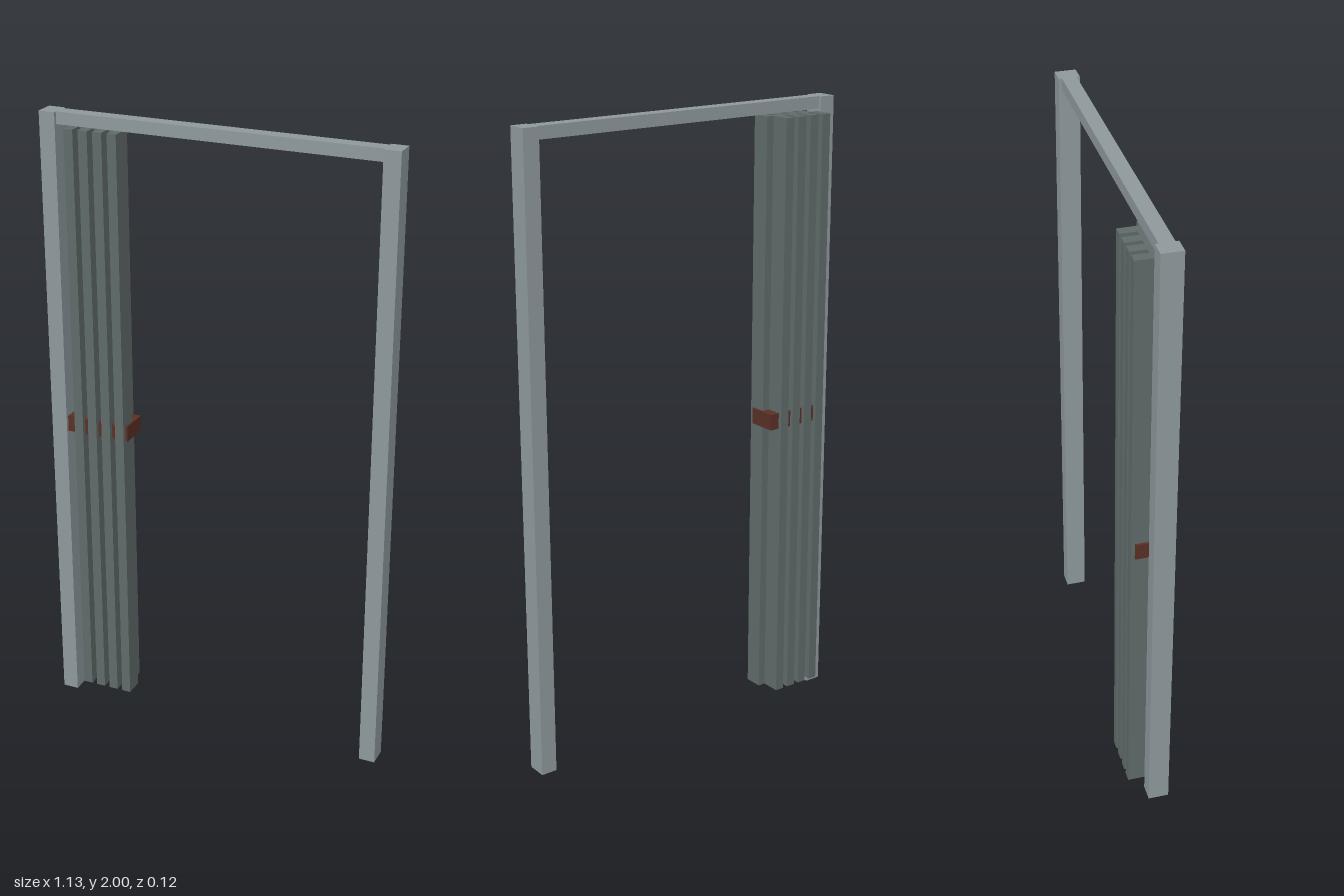
import * as THREE from 'three';

export function createModel() {
  const model = new THREE.Group();
  const frameMat = new THREE.MeshStandardMaterial({ name: 'pale grey frame', color: 0x8e999d });
  const panelMat = new THREE.MeshStandardMaterial({ name: 'dark grey panel', color: 0x5f6b69 });
  const handleMat = new THREE.MeshStandardMaterial({ name: 'brown handle', color: 0x5a3025 });

  // Box given by its limits along each axis
  function addBox(parent, name, material, [x0, x1], [y0, y1], [z0, z1]) {
    const mesh = new THREE.Mesh(new THREE.BoxGeometry(x1 - x0, y1 - y0, z1 - z0), material);
    mesh.position.set((x0 + x1) / 2, (y0 + y1) / 2, (z0 + z1) / 2);
    mesh.name = name;
    parent.add(mesh);
  }

  // Door frame: two posts and the top rail
  const frame = new THREE.Group();
  frame.name = 'doorFrame';
  addBox(frame, 'rightPost', frameMat, [-0.563, -0.511], [0, 2], [-0.01, 0.055]);
  addBox(frame, 'leftPost', frameMat, [0.511, 0.563], [0, 2], [-0.01, 0.055]);
  addBox(frame, 'topRail', frameMat, [-0.511, 0.511], [1.962, 2], [0, 0.045]);
  model.add(frame);

  // Folded door: staggered slats on both sides of a thin core
  const door = new THREE.Group();
  door.name = 'foldingDoor';
  const height = [0.04, 1.955];
  for (let i = 0; i < 4; i++) {
    const back = -0.505 + i * 0.0478;
    const front = back + 0.025;
    addBox(door, 'backSlat', panelMat, [back, back + 0.03], height, [-0.062, 0]);
    addBox(door, 'frontSlat', panelMat, [front, front + 0.03], height, [0, 0.06]);
  }
  addBox(door, 'core', panelMat, [-0.48, -0.332], height, [-0.013, 0.012]);
  model.add(door);

  // Handle bar running through the folds
  addBox(model, 'handle', handleMat, [-0.512, -0.3], [0.966, 1.018], [-0.05, 0.045]);

  return model;
}
